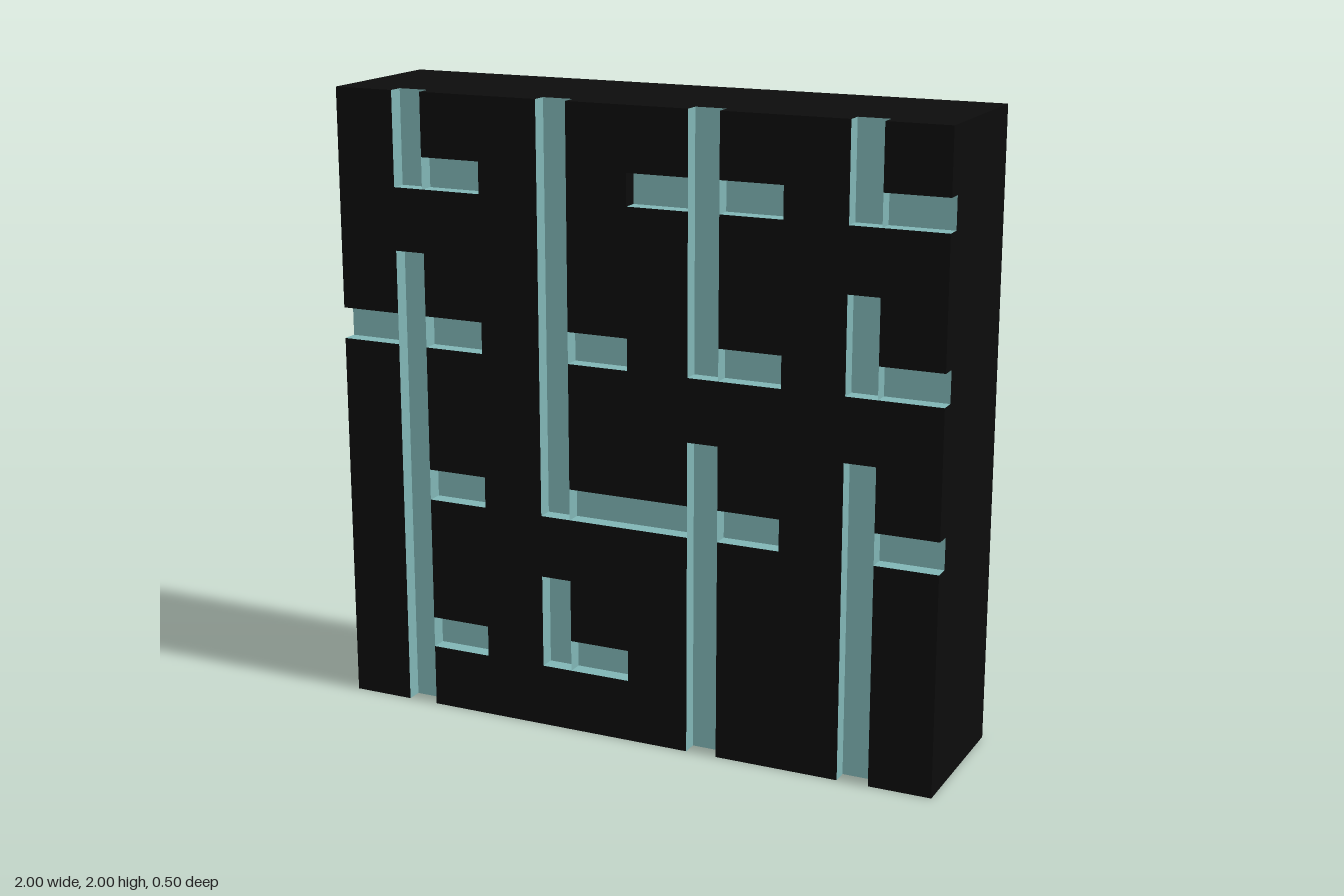
import * as THREE from 'three';

const N = 20, S = 0.1, H = S / 2;              // cells per side, cell size
const BACK = -0.25, FLOOR = 0.2, FRONT = 0.25; // depth planes

// vertical channels: [column, row from, row to]
const VERTICAL = [
  [2, 0, 15], [2, 17, 20], [7, 2, 5], [7, 7, 20], [12, 0, 10],
  [12, 12, 20], [17, 0, 10], [17, 12, 15], [17, 17, 20],
];
// horizontal channels: [row, column from, column to]
const HORIZONTAL = [
  [17, 2, 5], [17, 10, 15], [17, 17, 20],
  [12, 0, 5], [12, 7, 10], [12, 12, 15], [12, 17, 20],
  [7, 2, 5], [7, 7, 15], [7, 17, 20], [2, 2, 5], [2, 7, 10],
];

// 0 = solid, 1 = vertical channel, 2 = horizontal channel
function makeGrid() {
  const grid = Array.from({ length: N }, () => new Array(N).fill(0));
  for (const [row, a, b] of HORIZONTAL) for (let i = a; i < b; i++) grid[i][row] = 2;
  for (const [col, a, b] of VERTICAL) for (let j = a; j < b; j++) grid[col][j] = 1;
  return grid;
}

// corners run counter-clockwise seen from outside
function quad(list, a, b, c, d) {
  list.push(...a, ...b, ...c, ...a, ...c, ...d);
}

function makeMesh(name, list, color) {
  const geometry = new THREE.BufferGeometry();
  geometry.setAttribute('position', new THREE.Float32BufferAttribute(list, 3));
  geometry.computeVertexNormals();
  const mesh = new THREE.Mesh(geometry, new THREE.MeshStandardMaterial({ color }));
  mesh.name = name;
  return mesh;
}

export function createModel() {
  const grid = makeGrid();
  const block = [], channels = [];

  for (let i = 0; i < N; i++) {
    for (let j = 0; j < N; j++) {
      const kind = grid[i][j];
      const x = -1 + i * S + H, y = j * S + H;
      const top = kind ? FLOOR : FRONT;

      // front surface or channel floor
      quad(kind ? channels : block,
        [x - H, y - H, top], [x + H, y - H, top], [x + H, y + H, top], [x - H, y + H, top]);

      for (const [dx, dy] of [[1, 0], [0, 1], [-1, 0], [0, -1]]) {
        const ex = x + dx * H, ey = y + dy * H;
        const p = [ex + dy * H, ey - dx * H], q = [ex - dy * H, ey + dx * H];
        const ni = i + dx, nj = j + dy;

        if (ni < 0 || nj < 0 || ni >= N || nj >= N) {
          // outer side of the block, notched where a channel runs out
          quad(block, [...p, top], [...p, BACK], [...q, BACK], [...q, top]);
        } else if (kind && grid[ni][nj] !== kind) {
          // channel wall; ends on a tile border keep the block colour
          const border = dx ? Math.max(i, ni) : Math.max(j, nj);
          quad(border % 5 === 0 ? block : channels,
            [...p, FRONT], [...q, FRONT], [...q, FLOOR], [...p, FLOOR]);
        }
      }
    }
  }
  // back face
  quad(block, [1, 0, BACK], [-1, 0, BACK], [-1, 2, BACK], [1, 2, BACK]);

  const group = new THREE.Group();
  group.name = 'channelledPanel';
  group.add(makeMesh('block', block, 0x0c0c0c), makeMesh('channels', channels, 0x80b5b5));
  return group;
}
